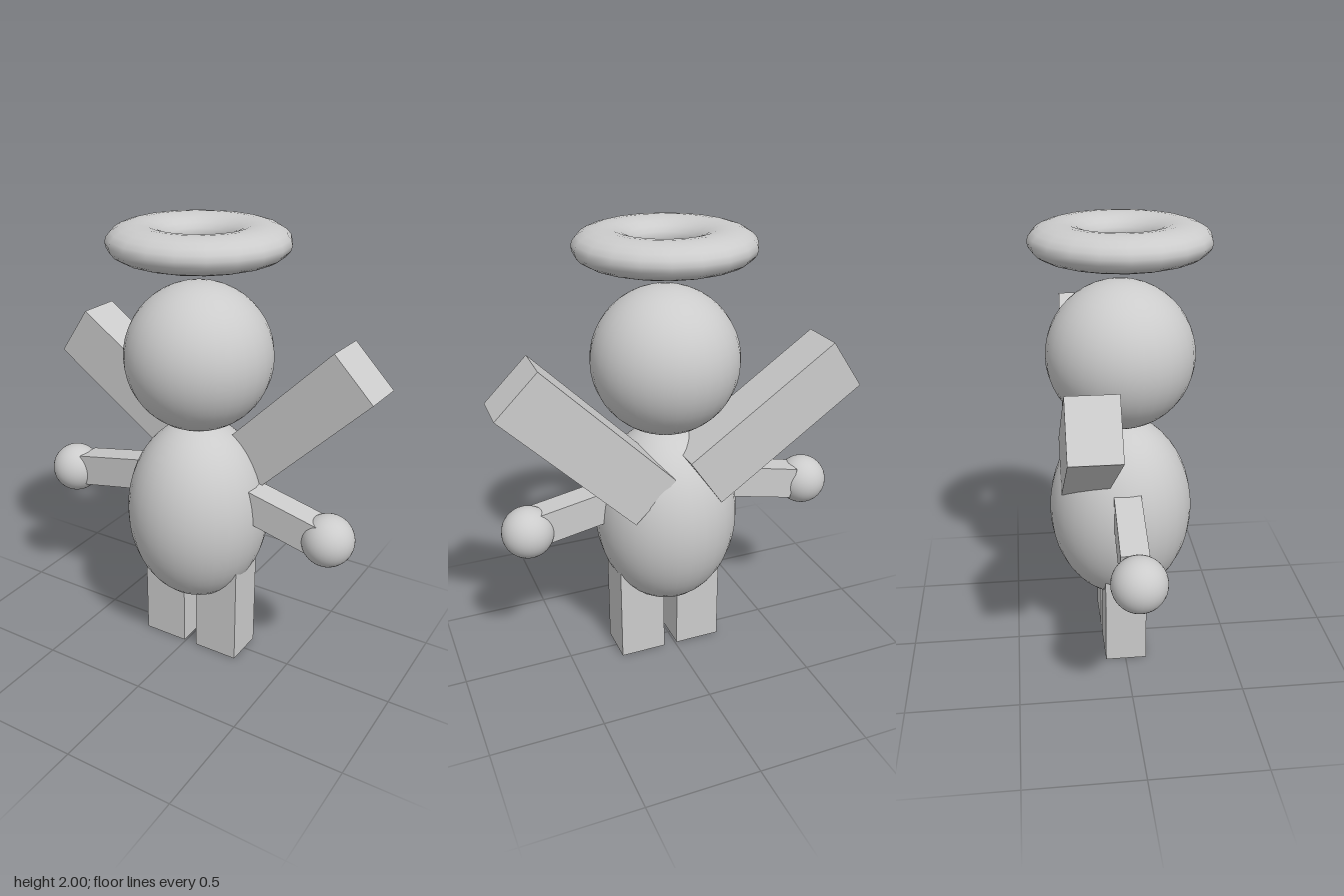
import * as THREE from 'three';

const material = new THREE.MeshStandardMaterial({ color: 0xcccccc });
const CENTRE = 0.012; // shared x of body, head and halo

export function createModel() {
  const model = new THREE.Group();
  model.name = 'wingedFigure';

  const add = (name, geometry, x, y, z) => {
    const mesh = new THREE.Mesh(geometry, material);
    mesh.name = name;
    mesh.position.set(x, y, z);
    model.add(mesh);
    return mesh;
  };
  const box = (name, size, position, turnY = 0, turnZ = 0) => {
    const mesh = add(name, new THREE.BoxGeometry(...size), ...position);
    mesh.rotation.order = 'YZX'; // tilt about z first, then turn about y
    mesh.rotation.set(0, turnY, turnZ);
    return mesh;
  };
  const ball = (name, radius, x, y) =>
    add(name, new THREE.SphereGeometry(radius, 32, 24), x, y, 0);

  // Head and egg-shaped body
  ball('head', 0.325, CENTRE, 1.433);
  ball('body', 0.325, CENTRE, 0.698).scale.y = 0.435 / 0.325;

  // Flattened halo ring
  const ring = new THREE.TorusGeometry(0.257, 0.127, 20, 20);
  ring.rotateX(Math.PI / 2);
  add('halo', ring, CENTRE, 1.925, 0).scale.y = 0.59;

  // Legs
  box('rightLeg', [0.213, 0.55, 0.188], [-0.115, 0.275, 0.002]);
  box('leftLeg', [0.213, 0.55, 0.188], [0.163, 0.275, 0.002]);

  // Arms with ball hands
  const armSize = [0.5, 0.148, 0.118];
  box('rightArm', armSize, [-0.378, 0.791, -0.002], -0.03, 0.205);
  box('leftArm', armSize, [0.377, 0.787, 0.002], -0.04, -0.205);
  ball('rightHand', 0.116, -0.7, 0.722);
  ball('leftHand', 0.116, 0.662, 0.722);

  // Wings, set behind the body at different tilts
  const wingSize = [0.8, 0.258, 0.206];
  box('rightWing', wingSize, [-0.398, 1.176, -0.174], 0, -0.602);
  box('leftWing', wingSize, [0.434, 1.17, -0.137], -0.03, Math.PI / 4);

  return model;
}
